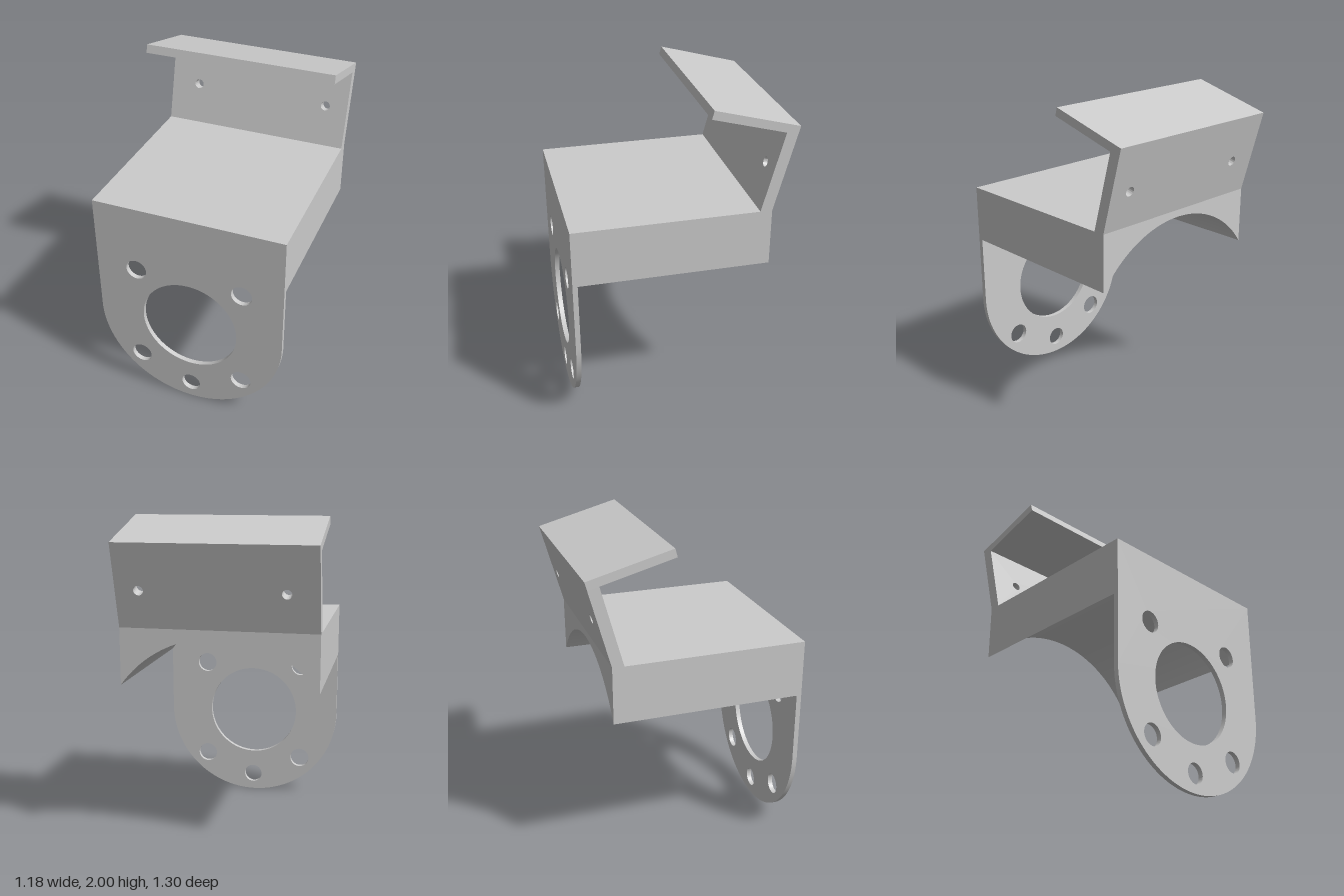
import * as THREE from 'three';
import { toCreasedNormals } from 'three/addons/utils/BufferGeometryUtils.js';

const W = 0.59;          // half width
const CY = 0.595;        // height of the bore axis
const TOP = 1.365;       // top of the block
const BACK = -0.515, FRONT = 0.65, PLATE = 0.03;
const material = new THREE.MeshStandardMaterial({ color: 0xcccccc });

function circle(x, y, r) {
  return new THREE.Path().absarc(x, y, r, 0, Math.PI * 2, true);
}

// Extrude a shape along z, starting at z, with smooth curved walls
function extrude(name, shape, z, depth) {
  const geo = new THREE.ExtrudeGeometry(shape, { depth, bevelEnabled: false, curveSegments: 48 });
  geo.translate(0, 0, z);
  const mesh = new THREE.Mesh(toCreasedNormals(geo, 0.5), material);
  mesh.name = name;
  return mesh;
}

export function createModel() {
  const model = new THREE.Group();
  model.name = 'mountingBracket';

  // Front plate: round bottom, large bore and five bolt holes
  const plate = new THREE.Shape();
  plate.moveTo(W, TOP);
  plate.lineTo(-W, TOP);
  plate.lineTo(-W, CY);
  plate.absarc(0, CY, W, Math.PI, Math.PI * 2, false);
  plate.closePath();
  plate.holes.push(circle(0, CY, 0.305), circle(0, 0.12, 0.061));
  for (const x of [-0.335, 0.335]) {
    for (const y of [0.26, 0.93]) plate.holes.push(circle(x, y, 0.065));
  }
  model.add(extrude('frontPlate', plate, FRONT - PLATE, PLATE));

  // Saddle block: underside hollowed by an arc concentric with the bore
  const sideY = 1.02;
  const angle = Math.atan2(sideY - CY, W);
  const saddle = new THREE.Shape();
  saddle.moveTo(W, TOP);
  saddle.lineTo(-W, TOP);
  saddle.lineTo(-W, sideY);
  saddle.absarc(0, CY, Math.hypot(W, sideY - CY), Math.PI - angle, angle, true);
  saddle.closePath();
  model.add(extrude('saddleBlock', saddle, BACK, FRONT - PLATE - BACK));

  // Tilted flange, hinged on the block's upper back edge
  const flange = new THREE.Group();
  flange.name = 'flange';
  flange.position.set(0, TOP, BACK);
  flange.rotation.x = -THREE.MathUtils.degToRad(15);
  model.add(flange);

  const lipBottom = 0.469, lipTop = 0.52, lipLength = 0.514;
  const wall = new THREE.Shape();
  wall.moveTo(-W, -0.02);
  wall.lineTo(W, -0.02);
  wall.lineTo(W, lipBottom);
  wall.lineTo(-W, lipBottom);
  wall.closePath();
  wall.holes.push(circle(-0.405, 0.234, 0.029), circle(0.45, 0.234, 0.029));
  flange.add(extrude('flangeWall', wall, 0, 0.068));

  // Lip folded forward from the flange
  const lip = new THREE.Mesh(new THREE.BoxGeometry(W * 2, lipTop - lipBottom, lipLength), material);
  lip.name = 'flangeLip';
  lip.position.set(0, (lipTop + lipBottom) / 2, lipLength / 2);
  flange.add(lip);

  return model;
}
